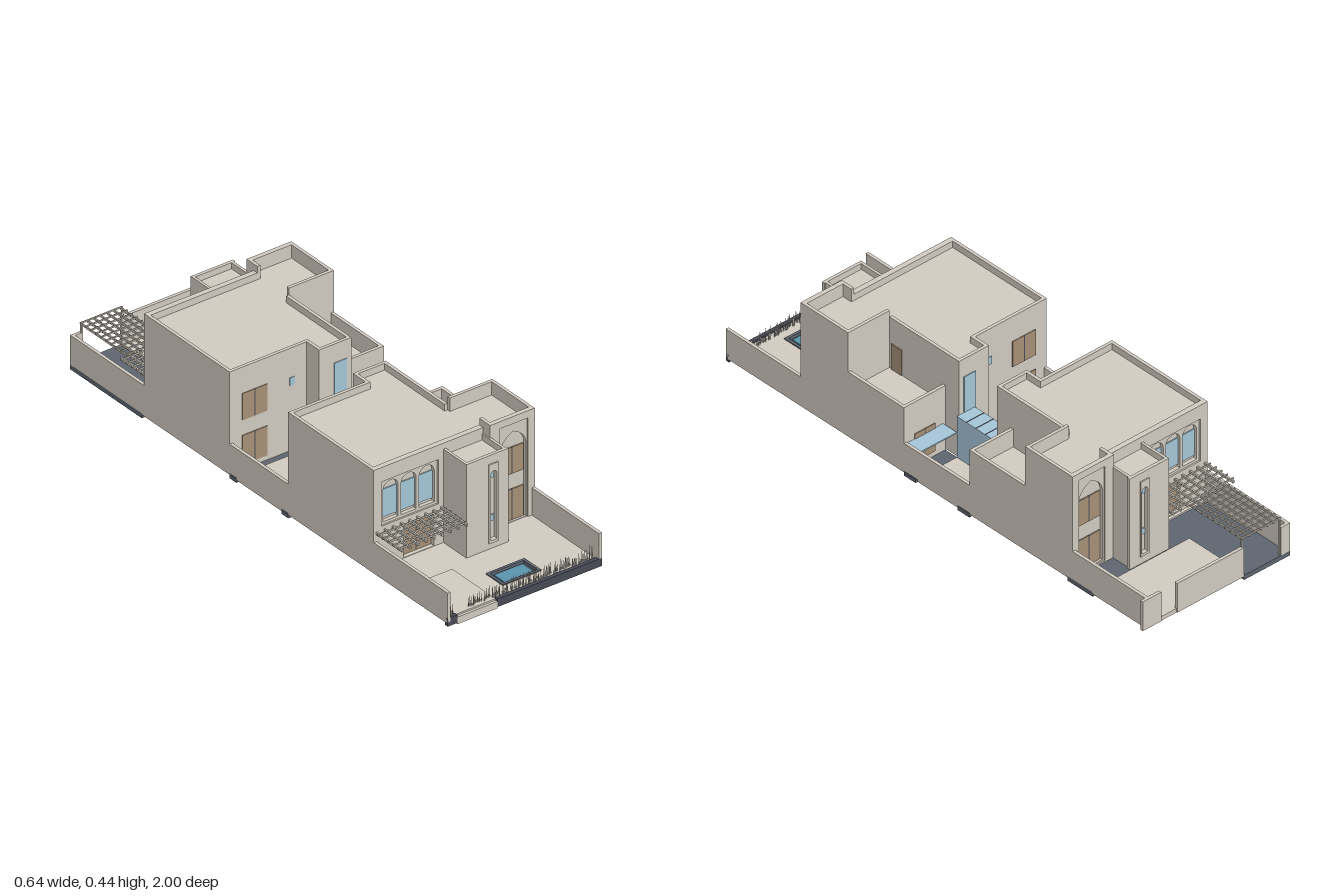
import * as THREE from 'three';

const mat = (color) => new THREE.MeshStandardMaterial({ color });

export function createModel() {
  const root = new THREE.Group();
  root.name = 'courtyardHouses';
  const wall = mat(0xcfc9be), dark = mat(0x474a54), paving = mat(0x5d646e);
  const glass = mat(0xa3c4d6), wood = mat(0xa48e75), water = mat(0x5a93ab);

  // Box given by its min/max corners; s = -1 mirrors it to the back
  const box = (parent, name, m, x0, x1, y0, y1, z0, z1, s = 1) => {
    const mesh = new THREE.Mesh(new THREE.BoxGeometry(x1 - x0, y1 - y0, z1 - z0), m);
    mesh.position.set((x0 + x1) / 2, (y0 + y1) / 2, s * (z0 + z1) / 2);
    mesh.name = name;
    parent.add(mesh);
    return mesh;
  };
  const rect = (P, x0, x1, y0, y1) => {
    const p = new P();
    p.moveTo(x0, y0); p.lineTo(x1, y0); p.lineTo(x1, y1); p.lineTo(x0, y1); p.closePath();
    return p;
  };
  const roundArch = (x0, x1, y0, spring) => {
    const p = new THREE.Path();
    p.moveTo(x0, y0); p.lineTo(x1, y0); p.lineTo(x1, spring);
    p.absarc((x0 + x1) / 2, spring, (x1 - x0) / 2, 0, Math.PI, false);
    p.closePath();
    return p;
  };
  const pointedArch = (x0, x1, y0, spring, top) => {
    const c = (x0 + x1) / 2, p = new THREE.Path();
    p.moveTo(x0, y0); p.lineTo(x1, y0); p.lineTo(x1, spring);
    p.quadraticCurveTo(x1 - 0.004, top - 0.02, c, top);
    p.quadraticCurveTo(x0 + 0.004, top - 0.02, x0, spring);
    p.closePath();
    return p;
  };
  // Upright panel with holes between two depths
  const panel = (parent, name, outline, holes, z0, z1, s) => {
    outline.holes.push(...holes);
    const g = new THREE.ExtrudeGeometry(outline, { depth: z1 - z0, bevelEnabled: false, curveSegments: 12 });
    const mesh = new THREE.Mesh(g.translate(0, 0, -(z1 - z0) / 2), wall);
    mesh.position.z = s * (z0 + z1) / 2;
    mesh.name = name;
    parent.add(mesh);
  };
  // Double-leaf door or shutter with a projecting middle rail
  const door = (parent, x0, x1, y0, y1, z0, z1, s) => {
    const c = (x0 + x1) / 2;
    box(parent, 'doorLeaf', wood, x0, c - 0.002, y0, y1, z0, z1, s);
    box(parent, 'doorLeaf', wood, c + 0.002, x1, y0, y1, z0, z1, s);
    box(parent, 'doorRail', dark, c - 0.002, c + 0.002, y0, y1, z0, z1, s);
  };

  const house = (name, s) => {
    const g = new THREE.Group();
    g.name = name;
    root.add(g);
    const b = (n, m, ...d) => box(g, n, m, ...d, s);
    // Main body, stair projection and tall entrance wing
    b('mainBody', wall, -0.32, 0.12, 0.03, 0.385, 0.155, 0.588);
    b('courtProjection', wall, -0.01, 0.12, 0.03, 0.385, 0.09, 0.155);
    b('wingBody', wall, 0.12, 0.3, 0.03, 0.385, 0.42, 0.628);
    // Roof parapets
    b('parapet', wall, -0.32, -0.308, 0.385, 0.41, 0.155, 0.588);
    b('parapet', wall, -0.308, -0.01, 0.385, 0.41, 0.155, 0.167);
    b('parapet', wall, -0.01, 0.002, 0.385, 0.41, 0.09, 0.167);
    b('parapet', wall, 0.002, 0.12, 0.385, 0.41, 0.09, 0.102);
    b('parapet', wall, 0.108, 0.12, 0.385, 0.41, 0.102, 0.42);
    b('wingParapet', wall, 0.12, 0.288, 0.385, 0.435, 0.42, 0.432);
    b('wingParapet', wall, 0.288, 0.3, 0.385, 0.435, 0.42, 0.628);
    b('wingParapet', wall, 0.12, 0.132, 0.385, 0.435, 0.588, 0.628);
    // Side terrace
    b('terraceBody', wall, 0.12, 0.3, 0.03, 0.21, 0.155, 0.42);
    b('terraceParapet', wall, 0.288, 0.3, 0.21, 0.28, 0.155, 0.42);
    b('terraceParapet', wall, 0.12, 0.288, 0.21, 0.28, 0.155, 0.167);
    b('terraceDoor', wood, 0.12, 0.123, 0.21, 0.31, 0.36, 0.41);

    // Street facade with three arched windows
    const centres = [-0.2475, -0.175, -0.1025];
    panel(g, 'facade', rect(THREE.Shape, -0.32, 0.12, 0.03, 0.41),
      [rect(THREE.Path, -0.289, -0.06, 0.19, 0.356), rect(THREE.Path, -0.2, -0.078, 0.04, 0.157)], 0.588, 0.608, s);
    panel(g, 'archedWindowScreen', rect(THREE.Shape, -0.289, -0.06, 0.19, 0.356),
      centres.map((c) => roundArch(c - 0.0305, c + 0.0305, 0.2, 0.316)), 0.588, 0.602, s);
    centres.forEach((c) => b('windowGlass', glass, c - 0.0305, c + 0.0305, 0.21, 0.314, 0.588, 0.592));
    door(g, -0.2, -0.078, 0.04, 0.157, 0.588, 0.593, s);

    // Entrance portal with a pointed arch
    panel(g, 'wingFacade', rect(THREE.Shape, 0.12, 0.3, 0.03, 0.435),
      [rect(THREE.Path, 0.16, 0.272, 0.035, 0.408)], 0.628, 0.645, s);
    panel(g, 'pointedArch', rect(THREE.Shape, 0.16, 0.272, 0.035, 0.408),
      [pointedArch(0.166, 0.268, 0.04, 0.318, 0.376)], 0.628, 0.64, s);
    for (const [y0, y1] of [[0.04, 0.155], [0.212, 0.312]]) door(g, 0.17, 0.264, y0, y1, 0.628, 0.632, s);

    // Stair tower with slit window
    b('towerBody', wall, -0.04, 0.125, 0.03, 0.365, 0.608, 0.718);
    panel(g, 'towerFace', rect(THREE.Shape, -0.04, 0.13, 0.03, 0.388),
      [rect(THREE.Path, 0.048, 0.086, 0.06, 0.356)], 0.718, 0.73, s);
    panel(g, 'slitFrame', rect(THREE.Shape, 0.048, 0.086, 0.06, 0.356),
      [roundArch(0.055, 0.08, 0.07, 0.316)], 0.718, 0.735, s);
    for (const [y0, y1] of [[0.135, 0.158], [0.297, 0.32]]) b('slitGlass', glass, 0.058, 0.077, y0, y1, 0.718, 0.723);
    b('towerParapet', wall, -0.04, -0.03, 0.365, 0.388, 0.608, 0.718);
    b('towerParapet', wall, 0.115, 0.125, 0.365, 0.388, 0.608, 0.718);

    // Courtyard openings
    for (const [y0, y1] of [[0.045, 0.155], [0.212, 0.312]]) door(g, -0.27, -0.17, y0, y1, 0.152, 0.155, s);
    b('courtWindow', glass, 0.05, 0.1, 0.2, 0.34, 0.087, 0.09);
    b('smallWindow', glass, -0.08, -0.06, 0.27, 0.3, 0.152, 0.155);
    door(g, 0.165, 0.255, 0.045, 0.155, 0.152, 0.155, s);

    // Pergola over the ground-floor door
    const pergola = new THREE.Group();
    pergola.name = 'pergola';
    g.add(pergola);
    for (let i = 0; i < 9; i++) {
      const x = -0.308 + i * 0.0325;
      box(pergola, 'rafter', wall, x - 0.003, x + 0.003, 0.166, 0.176, 0.608, 0.745, s);
    }
    for (let i = 0; i < 5; i++) {
      const z = 0.625 + i * 0.027;
      box(pergola, 'batten', wall, -0.318, -0.042, 0.172, 0.178, z - 0.002, z + 0.002, s);
    }
    // Garden side walls
    b('sideWall', wall, -0.32, -0.308, 0.03, 0.14, 0.608, 1);
    b('sideWall', wall, 0.288, 0.3, 0.03, 0.14, 0.645, 1);
  };
  house('frontHouse', 1);
  house('backHouse', -1);

  // Ground slabs
  box(root, 'frontGround', wall, -0.32, 0.3, 0.025, 0.038, 0.155, 0.85);
  box(root, 'frontGround', wall, -0.32, -0.045, 0.025, 0.038, 0.85, 0.93);
  box(root, 'frontGround', wall, 0.1, 0.3, 0.025, 0.038, 0.85, 0.93);
  box(root, 'frontGround', wall, -0.32, 0.3, 0.025, 0.038, 0.93, 0.99);
  box(root, 'houseGround', wall, -0.32, 0.3, 0.025, 0.036, -0.62, -0.155);
  box(root, 'backGround', wall, -0.12, 0.3, 0.022, 0.038, -0.995, -0.74);
  box(root, 'driveway', paving, -0.32, -0.12, 0.012, 0.03, -1, -0.62);
  box(root, 'backPath', paving, -0.12, 0.3, 0.012, 0.03, -0.74, -0.62);
  box(root, 'gardenPath', wall, -0.28, -0.12, 0.038, 0.042, 0.76, 0.99);

  // Pool
  box(root, 'poolBasin', paving, -0.045, 0.1, 0, 0.03, 0.85, 0.93);
  box(root, 'poolWater', water, -0.03, 0.085, 0.03, 0.036, 0.862, 0.918);
  for (const z of [0.846, 0.926]) box(root, 'poolRim', paving, -0.05, 0.105, 0.03, 0.042, z, z + 0.01);
  for (const x of [-0.05, 0.095]) box(root, 'poolRim', paving, x, x + 0.01, 0.03, 0.042, 0.856, 0.926);

  // Front kerb, entrance ramp and reed planting
  box(root, 'frontKerb', dark, -0.32, -0.28, 0.015, 0.045, 0.985, 1);
  box(root, 'frontKerb', dark, -0.12, 0.3, 0.015, 0.045, 0.985, 1);
  box(root, 'entranceRamp', wall, -0.28, -0.12, 0.01, 0.036, 0.985, 1);
  let seed = 7;
  const rnd = () => (seed = (seed * 16807) % 2147483647) / 2147483647;
  const reeds = new THREE.Group();
  reeds.name = 'reedPlanting';
  root.add(reeds);
  const reed = (x, z, h) => {
    const mesh = new THREE.Mesh(new THREE.ConeGeometry(0.0026, h, 4), wall);
    mesh.position.set(x, 0.038 + h / 2, z);
    mesh.rotation.z = (rnd() - 0.5) * 0.15;
    mesh.name = 'reed';
    reeds.add(mesh);
  };
  for (let x = -0.305; x < 0.288; x += 0.0055) {
    if (x < -0.28 || x > -0.22) reed(x, 0.965 + rnd() * 0.015, 0.035 + rnd() * 0.018);
  }

  // Back boundary wall, gate posts and carport lattice
  box(root, 'backWall', wall, -0.12, 0.17, 0.025, 0.14, -1, -0.988);
  box(root, 'backWall', wall, 0.24, 0.32, 0.025, 0.14, -1, -0.988);
  box(root, 'gatePost', wall, -0.32, -0.28, 0.025, 0.14, -1, -0.988);
  for (let i = 0; i < 7; i++) {
    const x = -0.28 + i * 0.0265;
    box(root, 'carportRafter', wall, x - 0.002, x + 0.002, 0.166, 0.174, -0.995, -0.745);
  }
  for (let i = 0; i < 10; i++) {
    const z = -0.993 + i * 0.027;
    box(root, 'carportBatten', wall, -0.285, -0.115, 0.172, 0.177, z - 0.002, z + 0.002);
  }
  for (const x of [-0.284, -0.12]) box(root, 'carportPost', wall, x, x + 0.006, 0.03, 0.17, -0.994, -0.988);

  // Middle courtyard
  box(root, 'courtSlab', wall, -0.32, -0.07, 0.022, 0.036, -0.12, 0.12);
  box(root, 'courtSlab', wall, -0.07, 0.05, 0.022, 0.036, -0.065, 0.065);
  box(root, 'sideCourtSlab', wall, 0.13, 0.3, 0.022, 0.036, -0.1, 0.09);
  for (const s of [-1, 1]) {
    box(root, 'courtChannel', paving, -0.32, 0, 0.012, 0.026, 0.12, 0.155, s);
    box(root, 'courtChannel', paving, -0.07, 0.05, 0.012, 0.026, 0.065, 0.12, s);
    box(root, 'courtChannel', paving, 0.12, 0.3, 0.012, 0.026, 0.1, 0.155, s);
  }
  for (const x of [-0.32, 0.288]) box(root, 'courtSideWall', wall, x, x + 0.012, 0.03, 0.14, -0.155, 0.155);
  box(root, 'courtDivider', wall, -0.12, 0.05, 0.036, 0.14, 0.035, 0.045);
  box(root, 'linkFloor', wall, 0.05, 0.13, 0.01, 0.036, -0.09, 0.09);
  for (const x of [0.052, 0.126]) box(root, 'linkGlassWall', glass, x, x + 0.004, 0.036, 0.192, -0.09, 0.09);
  box(root, 'linkGlassRoof', glass, 0.052, 0.13, 0.192, 0.198, -0.09, 0.09);
  for (const z of [-0.045, 0, 0.045]) box(root, 'linkRoofBar', paving, 0.052, 0.13, 0.198, 0.2, z - 0.001, z + 0.001);
  box(root, 'sideGlassRoof', glass, 0.13, 0.288, 0.13, 0.135, 0.09, 0.155);
  for (let i = 0; i < 18; i++) {
    const z = -0.1 + i * 0.0115;
    reed(-0.3 + rnd() * 0.015, z, 0.03 + rnd() * 0.02);
    reed(0.27 + rnd() * 0.015, z * 0.8, 0.03 + rnd() * 0.02);
  }
  return root;
}
